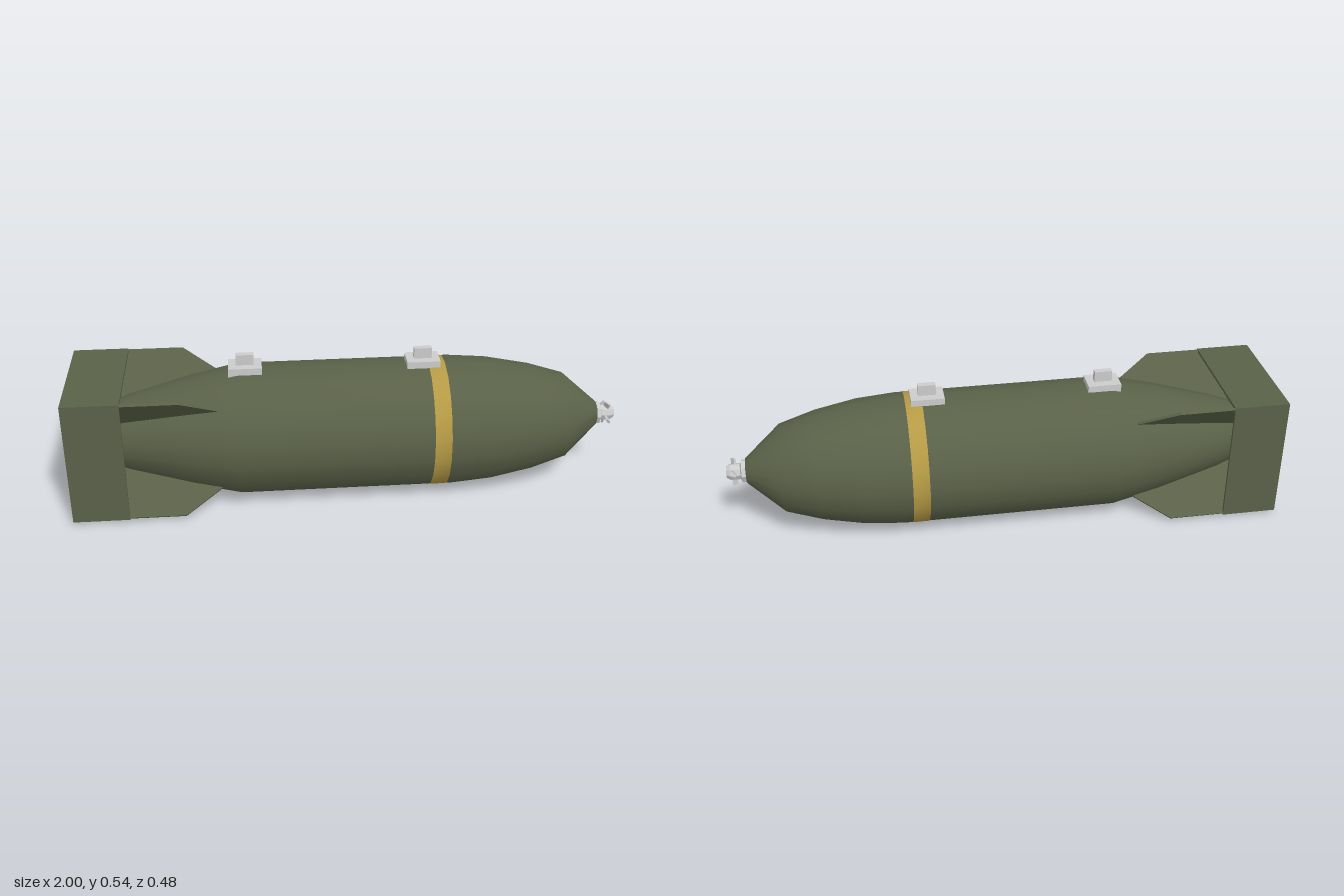
import * as THREE from 'three';
import { toCreasedNormals } from 'three/addons/utils/BufferGeometryUtils.js';

const AXIS_Y = 0.243;
const SIDES = 19;

const paint = (color, flatShading = false) => new THREE.MeshStandardMaterial({ color, flatShading });
const olive = paint(0x5a6148);
const yellow = paint(0xb59a45);
const grey = paint(0xcccccc, true);

function add(parent, name, geometry, material, x = 0, y = 0, z = 0) {
  const mesh = new THREE.Mesh(geometry, material);
  mesh.name = name;
  mesh.position.set(x, y, z);
  parent.add(mesh);
  return mesh;
}

// Revolve [x, radius] pairs around the long axis
function revolve(profile, sides) {
  const points = profile.map(([x, r]) => new THREE.Vector2(r, x));
  const geometry = new THREE.LatheGeometry(points, sides, Math.PI);
  geometry.rotateZ(-Math.PI / 2);
  return toCreasedNormals(geometry, 0.7);
}

export function createModel() {
  const model = new THREE.Group();
  model.name = 'finnedCasing';
  const axis = new THREE.Group();
  axis.name = 'axialParts';
  axis.position.y = AXIS_Y;
  model.add(axis);

  // Casing, with a recessed tail end and a tapering nose
  add(axis, 'casing', revolve([
    [-0.82, 0], [-0.82, 0.095], [-0.88, 0.095], [-0.88, 0.11],
    [-0.8, 0.14], [-0.57, 0.203], [-0.4, 0.24], [0.38, 0.24],
    [0.52, 0.229], [0.67, 0.2], [0.8, 0.16], [0.93, 0.045], [0.93, 0],
  ], SIDES), olive);

  // Painted band
  add(axis, 'band', revolve([[0.29, 0.239], [0.29, 0.2412], [0.35, 0.2412], [0.35, 0.239]], SIDES), yellow);

  // Nose cap with four small tilted vanes
  add(axis, 'noseCap', revolve([
    [0.925, 0], [0.925, 0.042], [0.945, 0.042], [0.95, 0.03],
    [0.985, 0.03], [1, 0.021], [1, 0],
  ], 8), grey);
  for (let i = 0; i < 4; i++) {
    const arm = new THREE.Group();
    arm.name = 'vaneArm';
    arm.rotation.x = i * Math.PI / 2 + 0.35;
    axis.add(arm);
    const vane = add(arm, 'vane', new THREE.BoxGeometry(0.008, 0.026, 0.022), grey, 0.972, 0.036, 0);
    vane.rotation.y = 0.6;
  }

  // Diagonal tail fins
  const finShape = new THREE.Shape([
    [-1, 0.32], [-0.87, 0.1], [-0.47, 0.2], [-0.47, 0.226], [-0.6, 0.32],
  ].map(([x, r]) => new THREE.Vector2(x, r)));
  const finGeometry = new THREE.ExtrudeGeometry(finShape, { depth: 0.01, bevelEnabled: false });
  finGeometry.translate(0, 0, -0.005);
  for (let i = 0; i < 4; i++) {
    const fin = add(axis, 'tailFin', finGeometry, olive);
    fin.rotation.x = Math.PI / 4 + i * Math.PI / 2;
  }

  // Square box around the tail
  for (const s of [-1, 1]) {
    add(axis, 'tailBoxFlat', new THREE.BoxGeometry(0.2, 0.01, 0.46), olive, -0.9, s * 0.225, 0);
    add(axis, 'tailBoxSide', new THREE.BoxGeometry(0.2, 0.46, 0.01), olive, -0.9, 0, s * 0.225);
  }

  // Two suspension lugs on top
  for (const x of [-0.37, 0.27]) {
    add(model, 'lugBase', new THREE.BoxGeometry(0.12, 0.03, 0.088), grey, x, 0.486, 0);
    add(model, 'lug', new THREE.BoxGeometry(0.064, 0.04, 0.023), grey, x, 0.52, 0);
  }

  return model;
}
